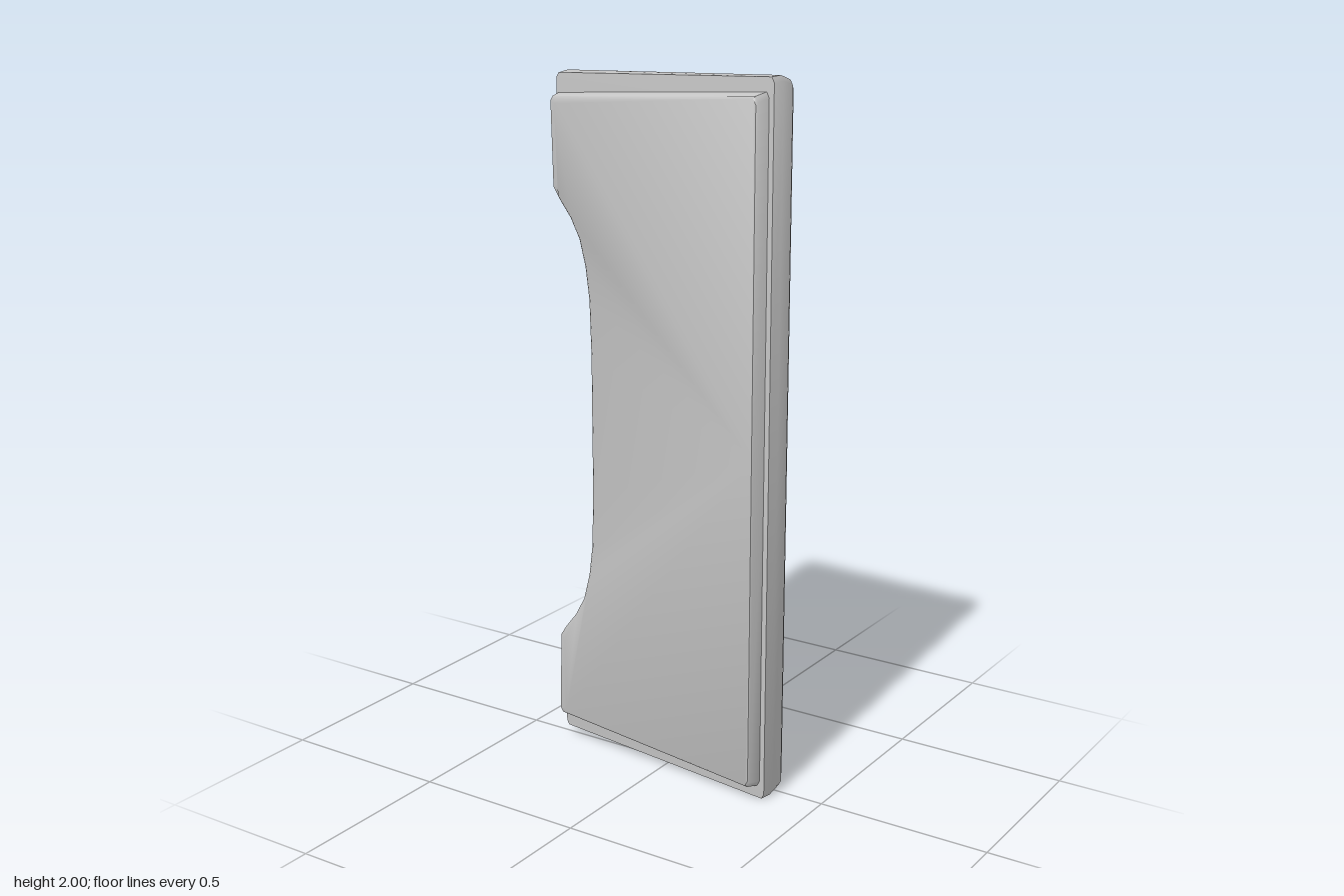
import * as THREE from 'three';
import { toCreasedNormals } from 'three/addons/utils/BufferGeometryUtils.js';

// Upper half of the scooped edge: x, height above the middle
const SCOOP = [[-0.36, 0.66], [-0.33, 0.63], [-0.29, 0.58], [-0.26, 0.525], [-0.24, 0.45], [-0.228, 0.36], [-0.223, 0.2]];

// Layers from front to back:
// z, left x, right x, half height at left, half height at right, inset of the scoop
const LAYERS = [
  [0.09, -0.337, 0.335, 0.905, 0.945, 0.012],
  [0.084, -0.355, 0.338, 0.912, 0.952, 0.004],
  [0.046, -0.366, 0.345, 0.918, 0.96, 0],
  [0.043, -0.367, 0.358, 0.972, 0.998, 0],
  [0.005, -0.367, 0.36, 0.977, 1.0, 0],
  [-0.035, -0.366, 0.362, 0.966, 0.986, 0.003],
  [-0.066, -0.365, 0.343, 0.945, 0.965, 0.018],
  [-0.082, -0.362, 0.326, 0.92, 0.942, 0.035],
  [-0.09, -0.345, 0.312, 0.89, 0.912, 0.055],
];

// Outline of one layer, counter-clockwise seen from the front
function outline([z, left, right, halfLeft, halfRight, inset]) {
  const upper = SCOOP.map(([x, y], i) => {
    const a = (i / (SCOOP.length - 1)) * Math.PI / 2;
    return [i === 0 ? left + 0.006 : x + inset * Math.sin(a), y + inset * Math.cos(a)];
  });
  // rounded outer corner at the scooped side
  const half = [[right, 0], [right, halfRight - 0.015], [right - 0.008, halfRight],
    [left + 0.008, halfLeft], [left, halfLeft - 0.012], ...upper];
  const lower = half.slice(1).reverse().map(([x, y]) => [x, -y]);
  return [...half, ...lower].map(([x, y]) => new THREE.Vector3(x, y + 1, z));
}

function panelGeometry() {
  const rings = LAYERS.map(outline);
  const pos = [];
  const tri = (a, b, c) => [a, b, c].forEach((p) => pos.push(p.x, p.y, p.z));

  // rim between neighbouring layers
  for (let k = 0; k < rings.length - 1; k++) {
    const f = rings[k], b = rings[k + 1], n = f.length;
    for (let i = 0; i < n; i++) {
      const j = (i + 1) % n;
      tri(f[i], b[i], b[j]);
      tri(f[i], b[j], f[j]);
    }
  }

  // front and back faces
  const cap = (ring, flip) => {
    const flat = ring.map((p) => new THREE.Vector2(p.x, p.y));
    for (const [a, b, c] of THREE.ShapeUtils.triangulateShape(flat, [])) {
      if (flip) tri(ring[a], ring[c], ring[b]);
      else tri(ring[a], ring[b], ring[c]);
    }
  };
  cap(rings[0], false);
  cap(rings[rings.length - 1], true);

  const g = new THREE.BufferGeometry();
  g.setAttribute('position', new THREE.Float32BufferAttribute(pos, 3));
  return toCreasedNormals(g, 0.75);
}

export function createModel() {
  const group = new THREE.Group();
  group.name = 'scoopedPanel';
  const grey = new THREE.MeshStandardMaterial({ color: 0xc4c4c4 });
  grey.name = 'light grey';

  // panel, turned slightly about the upright axis
  const panel = new THREE.Mesh(panelGeometry(), grey);
  panel.name = 'panel';
  panel.rotation.y = -0.074;
  group.add(panel);
  return group;
}
